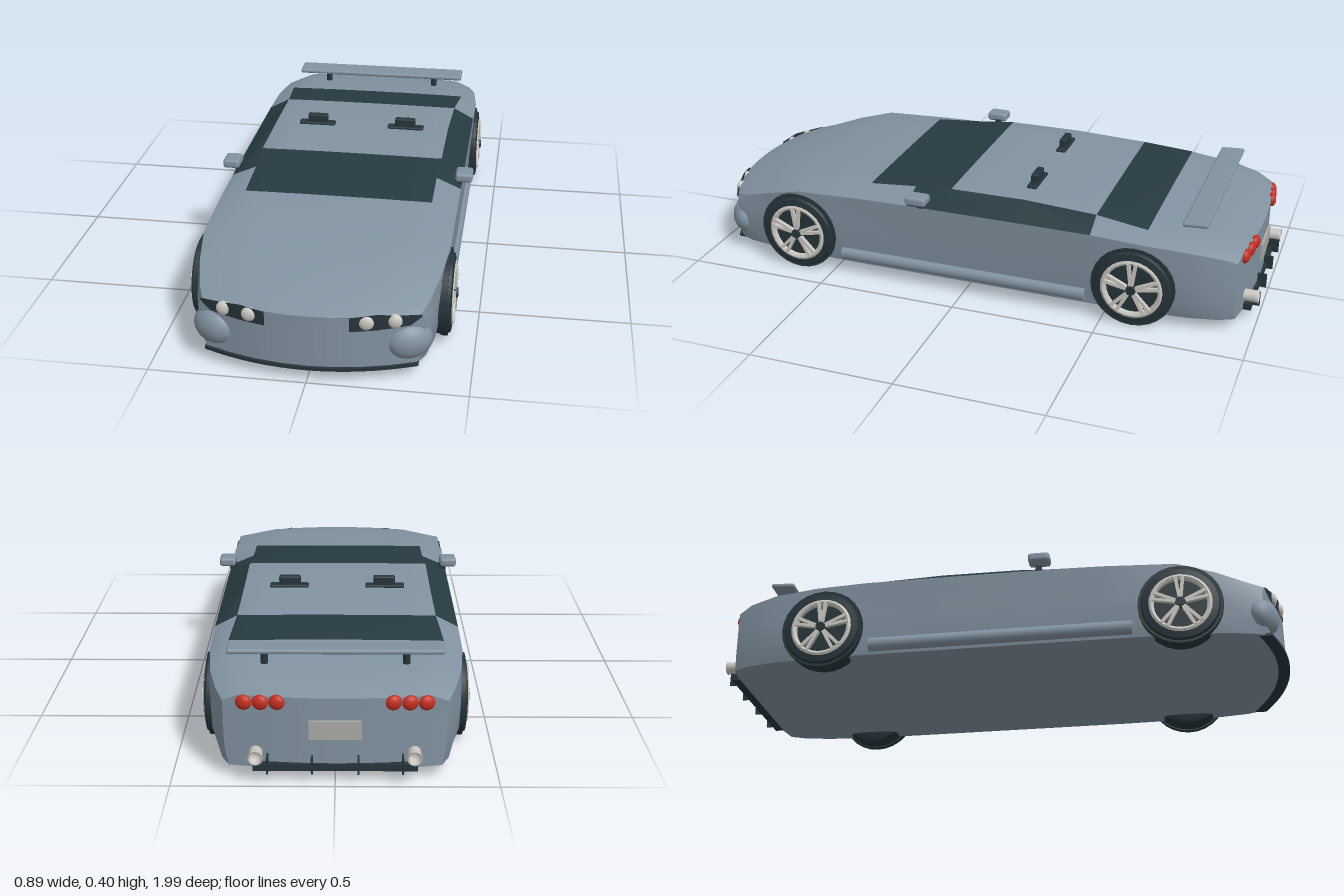
import * as THREE from 'three';
import { toCreasedNormals } from 'three/addons/utils/BufferGeometryUtils.js';
import { RoundedBoxGeometry } from 'three/addons/geometries/RoundedBoxGeometry.js';

const mat = (name, color, side = THREE.FrontSide) => {
  const m = new THREE.MeshStandardMaterial({ color, side });
  m.name = name;
  return m;
};

const smooth = THREE.MathUtils.smoothstep;
const frontZ = x => 0.98 - 0.09 * (x / 0.37) ** 2;
const rearZ = x => -0.97 + 0.035 * (x / 0.34) ** 2;
// Bows the nose and the tail in plan
const bend = (z, x) => z - 0.09 * smooth(z, 0.6, 0.98) * (x / 0.37) ** 2
  + 0.035 * smooth(-z, 0.7, 0.97) * (x / 0.34) ** 2;

// z, top y, roof edge x, roof edge y, shoulder x, shoulder y, side x, sill x
const stations = [
  [0.98, 0.218, 0.25, 0.218, 0.34, 0.212, 0.355, 0.33],
  [0.93, 0.238, 0.25, 0.236, 0.36, 0.225, 0.372, 0.355],
  [0.80, 0.278, 0.27, 0.275, 0.385, 0.258, 0.385, 0.372],
  [0.62, 0.313, 0.30, 0.310, 0.403, 0.292, 0.403, 0.38],
  [0.37, 0.330, 0.32, 0.328, 0.405, 0.302, 0.398, 0.385],
  [0.20, 0.344, 0.32, 0.342, 0.405, 0.305, 0.398, 0.385],
  [0.065, 0.357, 0.325, 0.355, 0.405, 0.305, 0.398, 0.385],
  [-0.20, 0.358, 0.325, 0.356, 0.405, 0.305, 0.398, 0.385],
  [-0.455, 0.346, 0.33, 0.344, 0.405, 0.304, 0.398, 0.385],
  [-0.635, 0.328, 0.345, 0.325, 0.405, 0.296, 0.403, 0.38],
  [-0.80, 0.311, 0.33, 0.309, 0.39, 0.286, 0.392, 0.37],
  [-0.92, 0.294, 0.31, 0.291, 0.365, 0.27, 0.365, 0.35],
  [-0.97, 0.272, 0.29, 0.272, 0.34, 0.25, 0.34, 0.325],
];
const BOTTOM = 0.037;

function bodyGeometry() {
  const body = [], glass = [];
  const quad = (out, a, b, c, d) => out.push(...a, ...b, ...c, ...a, ...c, ...d);
  const steps = [0, 0.25, 0.5, 0.75];
  const rings = stations.map(([z, top, wt, yt, ws, ys, wm, wb]) => {
    const half = [
      ...steps.map(u => [u * wt, top + (yt - top) * u * u]),
      [wt, yt], [ws, ys], [wm, 0.18], [wm - 0.004, 0.09], [wb, BOTTOM],
      ...steps.slice().reverse().map(u => [u * wb, BOTTOM]),
    ];
    const left = half.slice(1, -1).reverse().map(([x, y]) => [-x, y]);
    return [...half, ...left].map(([x, y]) => [x, y, bend(z, x)]);
  });
  const n = rings[0].length;
  for (let i = 0; i < rings.length - 1; i++) for (let j = 0; j < n; j++) {
    const k = (j + 1) % n;
    const onTop = j < 4 || j >= n - 4, onPillar = j === 4 || j === n - 5;
    const isGlass = (onTop && (i === 4 || i === 5 || i === 8)) || (onPillar && i >= 5 && i <= 7);
    quad(isGlass ? glass : body, rings[i][j], rings[i][k], rings[i + 1][k], rings[i + 1][j]);
  }
  // Bowed nose and tail faces
  for (const front of [true, false]) {
    const [z, , wt, yt, ws, ys, wm, wb] = stations[front ? 0 : stations.length - 1];
    const rows = [[wt, yt], [ws, ys], [wm, 0.18], [wm - 0.004, 0.09], [wb, BOTTOM]];
    const p = (r, c) => [rows[r][0] * (c / 4 - 1), rows[r][1], bend(z, rows[r][0] * (c / 4 - 1))];
    for (let r = 0; r < 4; r++) for (let c = 0; c < 8; c++) {
      if (front) quad(body, p(r, c), p(r + 1, c), p(r + 1, c + 1), p(r, c + 1));
      else quad(body, p(r, c), p(r, c + 1), p(r + 1, c + 1), p(r + 1, c));
    }
  }
  const g = new THREE.BufferGeometry();
  g.setAttribute('position', new THREE.Float32BufferAttribute([...body, ...glass], 3));
  const out = toCreasedNormals(g, 0.55);
  out.clearGroups();
  out.addGroup(0, body.length / 3, 0);
  out.addGroup(body.length / 3, glass.length / 3, 1);
  return out;
}

export function createModel() {
  const paint = mat('body paint', 0x8192a0);
  const glass = mat('dark glass', 0x263a40);
  const black = mat('black trim', 0x25343a, THREE.DoubleSide);
  const silver = mat('silver', 0xcac7c0, THREE.DoubleSide);
  const red = mat('red lens', 0xc42e20);
  const plateGrey = mat('plate grey', 0xa9aaa6);

  const model = new THREE.Group();
  model.name = 'sportsCar';
  const add = (name, geo, material, x = 0, y = 0, z = 0, parent = model) => {
    const m = new THREE.Mesh(geo, material);
    m.name = name;
    m.position.set(x, y, z);
    parent.add(m);
    return m;
  };
  const box = (w, h, d) => new THREE.BoxGeometry(w, h, d);

  add('bodyShell', bodyGeometry(), [paint, glass]);

  // Front splitter
  const lip = new THREE.Shape();
  for (let i = -8; i <= 8; i++) lip[i === -8 ? 'moveTo' : 'lineTo'](i * 0.042, frontZ(i * 0.042) + 0.01);
  for (let i = 8; i >= -8; i--) lip.lineTo(i * 0.042, frontZ(i * 0.042) - 0.03);
  const lipGeo = new THREE.ExtrudeGeometry(lip, { depth: 0.01, bevelEnabled: false });
  add('frontSplitter', lipGeo.rotateX(Math.PI / 2), black, 0, 0.044, 0);

  // Wheels turn about x, outer face toward +x
  const v = (r, h) => new THREE.Vector2(r, h);
  const lathe = (pts, seg) => toCreasedNormals(new THREE.LatheGeometry(pts, seg), 0.6).rotateZ(-Math.PI / 2);
  const tyreGeo = lathe([v(0.001, -0.05), v(0.11, -0.05), v(0.13, -0.042), v(0.136, -0.025),
    v(0.136, 0.03), v(0.128, 0.046), v(0.104, 0.05), v(0.1, 0.035), v(0.001, 0.03)], 28);
  const rimGeo = lathe([v(0.088, 0.036), v(0.09, 0.05), v(0.098, 0.054), v(0.106, 0.05)], 28);
  const discGeo = new THREE.CylinderGeometry(0.06, 0.06, 0.008, 20).rotateZ(Math.PI / 2);
  const hubGeo = new THREE.CylinderGeometry(0.016, 0.02, 0.02, 12).rotateZ(-Math.PI / 2);
  const spokeGeo = box(0.014, 0.085, 0.011).translate(0, 0.053, 0);
  const archGeo = new THREE.CylinderGeometry(0.143, 0.143, 0.02, 28).rotateZ(Math.PI / 2);
  for (const s of [1, -1]) for (const [label, z] of [['front', 0.625], ['rear', -0.605]]) {
    add(label + 'WheelArch', archGeo, black, s * 0.398, 0.138, z);
    const wheel = new THREE.Group();
    wheel.name = label + (s > 0 ? 'LeftWheel' : 'RightWheel');
    wheel.position.set(s * 0.371, 0.136, z);
    wheel.rotation.y = s > 0 ? 0 : Math.PI;
    model.add(wheel);
    add('tyre', tyreGeo, black, 0, 0, 0, wheel);
    add('rim', rimGeo, silver, 0, 0, 0, wheel);
    add('brakeDisc', discGeo, plateGrey, 0.032, 0, 0, wheel);
    add('hub', hubGeo, black, 0.053, 0, 0, wheel);
    for (let i = 0; i < 5; i++) for (const t of [-1, 1]) {
      const a = i * Math.PI * 0.4 + t * 0.13;
      add('spoke', spokeGeo, silver, 0.05, 0, 0, wheel).rotation.x = a;
    }
  }

  // Headlamp panel, bent around the nose: x, lower y, upper y
  const lampColumns = [[0.13, 0.172, 0.22], [0.17, 0.173, 0.224], [0.21, 0.174, 0.228],
    [0.26, 0.177, 0.222], [0.31, 0.18, 0.216], [0.345, 0.205, 0.212]];
  const lampPanel = s => {
    const g = new THREE.PlaneGeometry(1, 1, lampColumns.length - 1, 1);
    const p = g.attributes.position;
    lampColumns.forEach(([x, lo, hi], i) => {
      p.setXYZ(i, s * x, hi, frontZ(x) + 0.005);
      p.setXYZ(i + lampColumns.length, s * x, lo, frontZ(x) + 0.005);
    });
    g.computeVertexNormals();
    return g;
  };
  const ball = new THREE.SphereGeometry(1, 20, 14);

  for (const s of [1, -1]) {
    add('headlampPanel', lampPanel(s), black);
    for (const x of [0.18, 0.264])
      add('headlamp', ball, silver, s * x, 0.2, frontZ(x) + 0.002).scale.set(0.024, 0.024, 0.014);
    // Rounded bumper corner
    const pod = add('bumperCorner', ball, paint, s * 0.305, 0.115, 0.895);
    pod.scale.set(0.075, 0.062, 0.05);
    pod.rotation.y = s * 0.45;

    // Side skirt
    const skirt = new THREE.CylinderGeometry(0.025, 0.025, 0.9, 14).rotateX(Math.PI / 2);
    add('sideSkirt', skirt, paint, s * 0.386, 0.072, 0.01);

    // Door mirror
    add('mirror', new RoundedBoxGeometry(0.06, 0.032, 0.075, 3, 0.011), paint, s * 0.413, 0.34, 0.155);
    add('mirrorStalk', box(0.025, 0.03, 0.02), black, s * 0.393, 0.318, 0.15);

    // Headrest standing out of the roof panel
    add('headrest', new RoundedBoxGeometry(0.075, 0.042, 0.026, 2, 0.006), black, s * 0.165, 0.375, -0.195);
    add('headrestBase', new RoundedBoxGeometry(0.135, 0.012, 0.036, 2, 0.005), black, s * 0.167, 0.36, -0.195);

    // Tail lamps, wing post and exhaust
    for (const x of [0.175, 0.225, 0.275]) {
      const lamp = add('tailLamp', ball, red, s * x, 0.25 + (0.275 - x) * 0.06, rearZ(x) - 0.002);
      lamp.scale.set(0.025, 0.024, 0.015);
      lamp.rotation.y = -s * 0.2;
    }
    add('wingPost', new THREE.CylinderGeometry(0.012, 0.012, 0.06, 10), black, s * 0.22, 0.328, -0.785);
    const pipe = [v(0.02, -0.05), v(0.021, 0.035), v(0.024, 0.045), v(0.019, 0.045), v(0.016, 0.02), v(0.001, 0.02)];
    add('exhaust', new THREE.LatheGeometry(pipe, 18).rotateX(-Math.PI / 2), silver, s * 0.24, 0.088, -0.955);
    for (const x of [0.07, 0.205])
      add('diffuserFin', box(0.006, 0.05, 0.05), black, s * x, 0.06, -0.975);
  }

  // Rear wing, diffuser strip and plate
  const wing = add('rearWing', new RoundedBoxGeometry(0.67, 0.016, 0.084, 2, 0.007), paint, 0, 0.36, -0.787);
  wing.rotation.x = 0.06;
  add('diffuser', box(0.5, 0.022, 0.03), black, 0, 0.047, -0.963);
  add('numberPlate', box(0.16, 0.06, 0.008), plateGrey, 0, 0.17, -0.974);
  return model;
}
